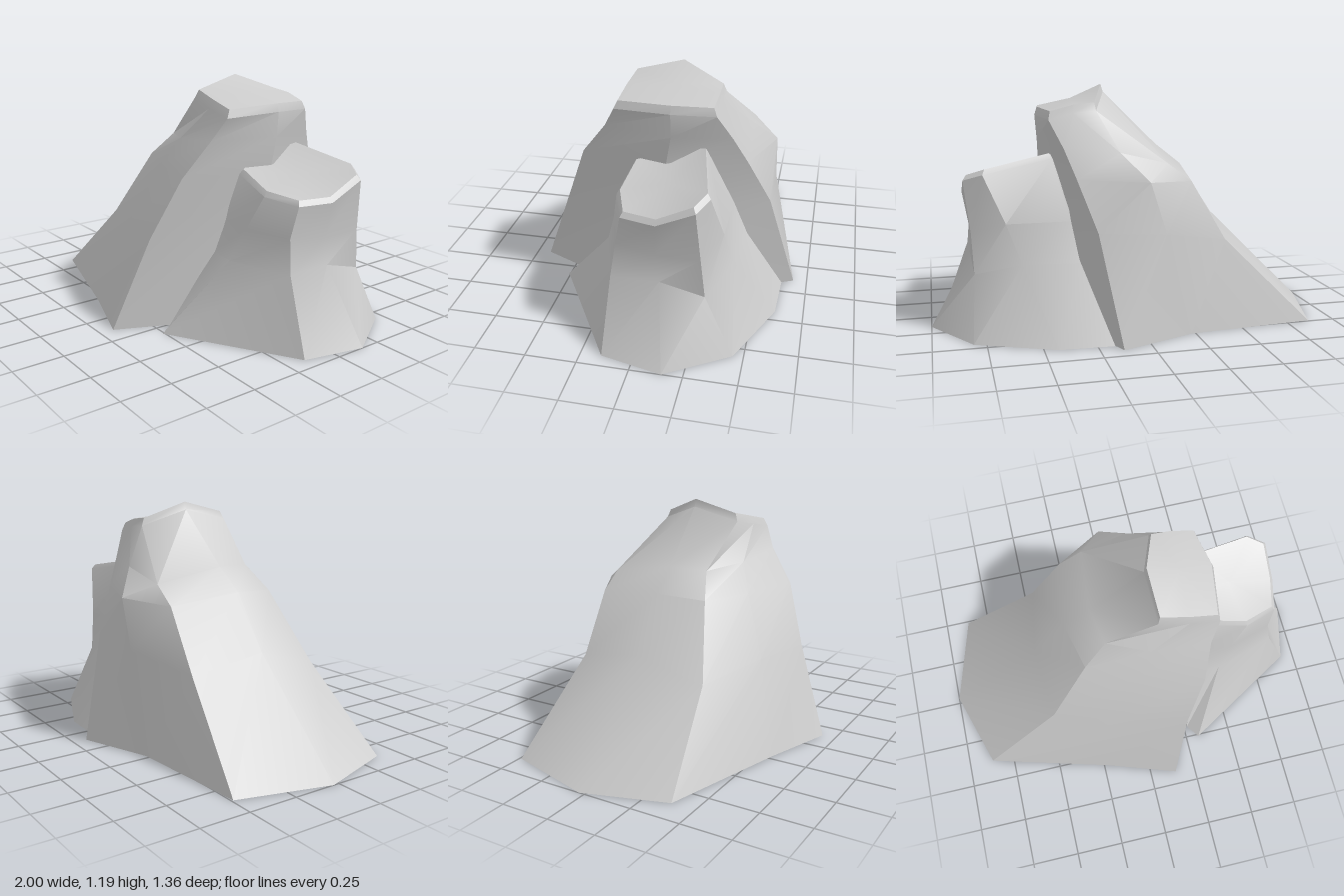
import * as THREE from 'three';
import { toCreasedNormals } from 'three/addons/utils/BufferGeometryUtils.js';

// Skins a rock from edge columns (each listed from ground to rim, going
// west -> front -> east -> back), then adds a chamfered rim and closed caps.
function rock(name, columns, crown, inset, lift) {
  const cols = columns.map((c) => {
    const [x, y, z] = c[c.length - 1];
    const top = [x + (crown[0] - x) * inset, y + lift, z + (crown[2] - z) * inset];
    return [...c, top];
  });
  const n = cols.length, rows = cols[0].length;
  const pos = [], index = [];
  cols.forEach((c) => c.forEach((p) => pos.push(...p)));
  pos.push(...crown, crown[0], 0, crown[2]);
  const id = (i, r) => (i % n) * rows + r;
  const top = n * rows, bottom = top + 1;
  for (let i = 0; i < n; i++) {
    for (let r = 0; r < rows - 1; r++) {
      const a = id(i, r), b = id(i + 1, r), c = id(i + 1, r + 1), d = id(i, r + 1);
      index.push(a, b, c, a, c, d);
    }
    index.push(top, id(i, rows - 1), id(i + 1, rows - 1));
    index.push(bottom, id(i + 1, 0), id(i, 0));
  }
  const geo = new THREE.BufferGeometry();
  geo.setAttribute('position', new THREE.Float32BufferAttribute(pos, 3));
  geo.setIndex(index);
  const mesh = new THREE.Mesh(
    toCreasedNormals(geo, THREE.MathUtils.degToRad(32)),
    new THREE.MeshStandardMaterial({ color: 0xcccccc })
  );
  mesh.name = name;
  return mesh;
}

export function createModel() {
  const group = new THREE.Group();
  group.name = 'rockOutcrop';

  // tall rock with a long slope to the west
  group.add(rock('tallRock', [
    // west ridge
    [[-1, 0, -0.03], [-0.49, 0.5, -0.04], [-0.31, 0.77, -0.05], [-0.17, 0.88, -0.06], [0.11, 1.15, -0.08]],
    // front west edge
    [[-0.87, 0, 0.38], [-0.46, 0.4, 0.3], [-0.25, 0.75, 0.19], [-0.13, 0.87, 0.13], [0.12, 1.09, 0.17]],
    // front face
    [[-0.22, 0, 0.56], [-0.1, 0.45, 0.43], [0, 0.75, 0.3], [0.08, 0.89, 0.23], [0.27, 1.06, 0.19]],
    // front east edge
    [[0.14, 0, 0.68], [0.22, 0.45, 0.51], [0.32, 0.75, 0.39], [0.37, 0.92, 0.26], [0.42, 1.03, 0.2]],
    // east face
    [[0.45, 0, 0], [0.43, 0.5, 0], [0.44, 0.75, -0.05], [0.45, 0.92, -0.08], [0.46, 1.04, -0.08]],
    // back east edge
    [[0.14, 0, -0.68], [0.23, 0.52, -0.54], [0.31, 0.76, -0.43], [0.36, 0.9, -0.36], [0.42, 1.03, -0.29]],
    // back shoulder
    [[-0.23, 0, -0.54], [-0.1, 0.5, -0.54], [-0.02, 0.75, -0.54], [0.1, 0.88, -0.43], [0.3, 1.06, -0.3]],
    // back west edge
    [[-0.87, 0, -0.49], [-0.44, 0.43, -0.41], [-0.26, 0.73, -0.41], [-0.14, 0.82, -0.41], [0.19, 1.07, -0.3]],
  ], [0.28, 1.12, -0.07], 0.07, 0.04));

  // lower rock leaning on its east side
  group.add(rock('lowRock', [
    // hidden west side
    [[0.2, 0, -0.1], [0.25, 0.36, -0.1], [0.28, 0.5, -0.08], [0.32, 0.78, -0.06]],
    // front west edge
    [[0.27, 0, 0.44], [0.33, 0.36, 0.21], [0.35, 0.52, 0.16], [0.4, 0.75, 0.11]],
    // front edge
    [[0.32, 0, 0.51], [0.48, 0.36, 0.23], [0.54, 0.52, 0.18], [0.62, 0.69, 0.14]],
    // front east edge
    [[0.93, 0, 0.15], [0.8, 0.36, 0.13], [0.77, 0.52, 0.11], [0.79, 0.67, 0.08]],
    // east foot
    [[1, 0, -0.15], [0.8, 0.36, -0.1], [0.8, 0.5, -0.08], [0.83, 0.67, -0.09]],
    // back east edge
    [[0.81, 0, -0.45], [0.79, 0.3, -0.31], [0.8, 0.5, -0.29], [0.83, 0.75, -0.27]],
    // back edge
    [[0.43, 0, -0.61], [0.57, 0.36, -0.41], [0.64, 0.55, -0.37], [0.74, 0.78, -0.32]],
    // back west edge
    [[0.17, 0, -0.62], [0.3, 0.36, -0.44], [0.33, 0.55, -0.37], [0.4, 0.84, -0.25]],
  ], [0.58, 0.75, -0.1], 0.07, 0.025));

  return group;
}
